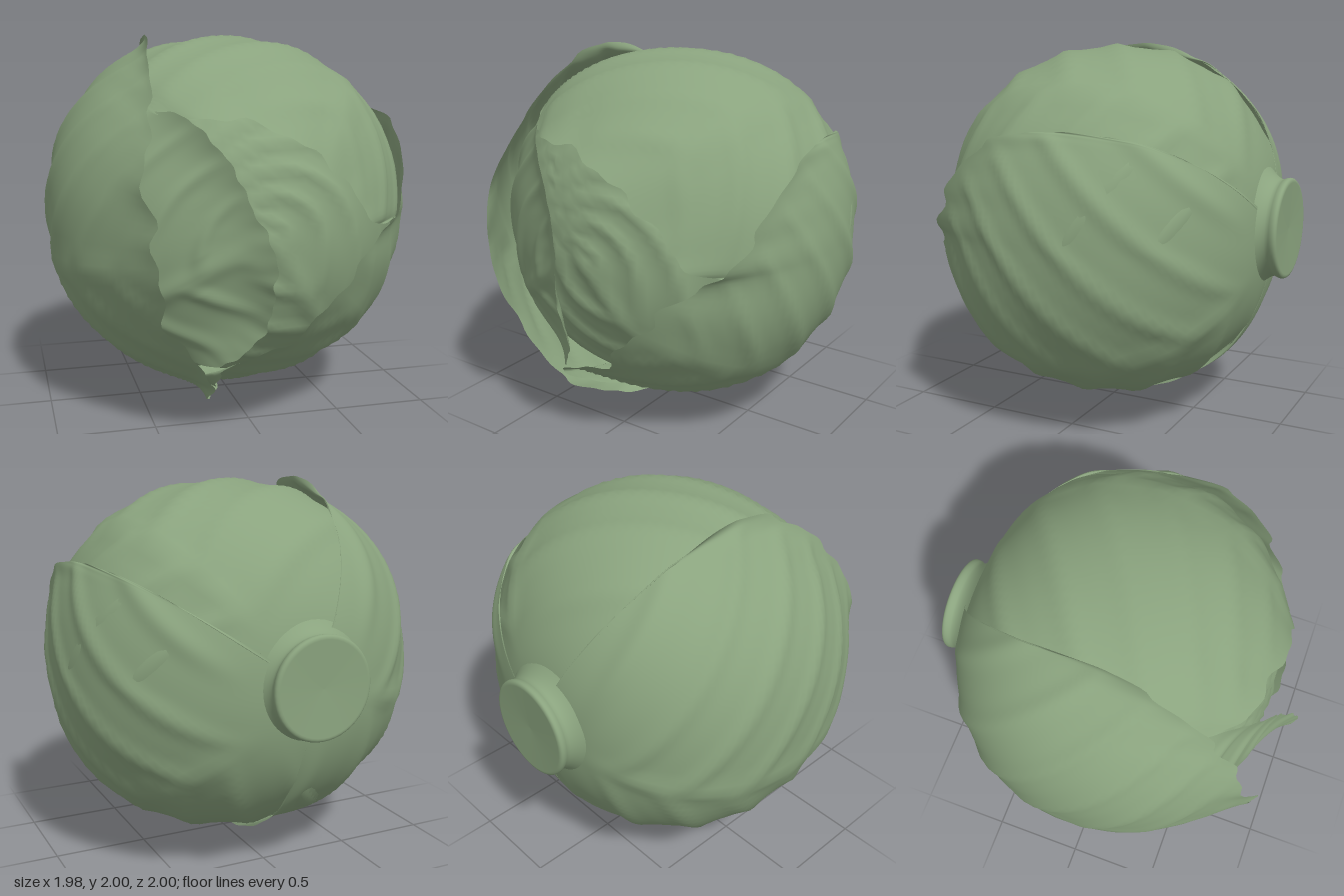
import * as THREE from 'three';

const CENTRE = new THREE.Vector3(0, 1.06, -0.03);
const RADII = new THREE.Vector3(0.975, 0.945, 0.885);
const STEM_POLE = new THREE.Vector3(-0.04, 0, -1).normalize();

// Distance from the centre to the slightly blunt ball of the head
function headRadius(d) {
  const n = 2.15;
  const s = Math.abs(d.x / RADII.x) ** n + Math.abs(d.y / RADII.y) ** n + Math.abs(d.z / RADII.z) ** n;
  return s ** (-1 / n);
}

// Raised midrib with side veins sweeping forward from it
function veinHeight(d, ribAngle, slope) {
  const theta = Math.acos(THREE.MathUtils.clamp(-d.z, -1, 1));
  let a = Math.atan2(d.y, d.x) - ribAngle;
  a = Math.atan2(Math.sin(a), Math.cos(a));
  const w = Math.sin(theta) * a;
  const x = (theta - slope * Math.abs(w)) / 0.36 + (w > 0 ? 0.3 : 0);
  const f = x - Math.floor(x);
  const side = Math.exp(-(((f - 0.5) / 0.16) ** 2)) * Math.min(1, Math.abs(w) / 0.1);
  const rib = Math.exp(-((w / 0.06) ** 2));
  const fade = THREE.MathUtils.smoothstep(theta, 0.3, 0.8);
  return fade * (0.02 * side + 0.02 * rib - 0.005);
}

// Leaf: a patch of the head fanned from an apex out to a ragged edge
function makeLeaf(name, material, { scale, rib, slope, ragged = 1, apex = STEM_POLE }, ...edge) {
  const points = edge.map(p => new THREE.Vector3(...p).sub(CENTRE));
  const curve = new THREE.CatmullRomCurve3(points, false, 'centripetal');
  curve.arcLengthDivisions = 600;
  const NU = 140, NV = 70, pos = [], index = [];
  for (let i = 0; i <= NU; i++) {
    const u = i / NU;
    const p = curve.getPointAt(u);
    const e = p.clone().normalize();
    // Lip radius never sinks below the leaf's own layer
    const lip = Math.max(p.length(), headRadius(e) * scale);
    const angle = apex.angleTo(e);
    const side = e.clone().addScaledVector(apex, -apex.dot(e)).normalize();
    const wobble = ragged * Math.sin(Math.PI * u) *
      (0.012 * Math.sin(41 * u) + 0.01 * Math.sin(97 * u + 1) + 0.008 * Math.sin(163 * u + 2));
    for (let j = 0; j <= NV; j++) {
      const v = j / NV;
      const t = angle * v * (1 + wobble * v ** 6);
      const d = apex.clone().multiplyScalar(Math.cos(t)).addScaledVector(side, Math.sin(t));
      const body = headRadius(d) * scale + veinHeight(d, rib, slope);
      const r = THREE.MathUtils.lerp(body, lip + wobble * 0.6, v ** 9);
      const q = d.multiplyScalar(r).add(CENTRE);
      pos.push(q.x, q.y, q.z);
      if (i < NU && j < NV) {
        const a = i * (NV + 1) + j, b = a + NV + 1;
        if (j > 0) index.push(a, a + 1, b);
        index.push(b, a + 1, b + 1);
      }
    }
  }
  const g = new THREE.BufferGeometry();
  g.setAttribute('position', new THREE.Float32BufferAttribute(pos, 3));
  g.setIndex(index);
  g.computeVertexNormals();
  const mesh = new THREE.Mesh(g, material);
  mesh.name = name;
  return mesh;
}

// Inner heart, visible at the front between the leaves
function makeHeart(material) {
  const g = new THREE.SphereGeometry(1, 110, 80);
  const p = g.attributes.position;
  const d = new THREE.Vector3();
  for (let i = 0; i < p.count; i++) {
    d.fromBufferAttribute(p, i).normalize();
    d.multiplyScalar(headRadius(d) * 0.945 + veinHeight(d, -1, 0.6)).add(CENTRE);
    p.setXYZ(i, d.x, d.y, d.z);
  }
  g.computeVertexNormals();
  const mesh = new THREE.Mesh(g, material);
  mesh.name = 'heart';
  return mesh;
}

// Cut stem at the back, with a soft rolled rim
function makeStem(material) {
  const profile = new THREE.Path();
  profile.moveTo(0.36, 0.82);
  profile.quadraticCurveTo(0.25, 0.9, 0.252, 0.95);
  profile.bezierCurveTo(0.27, 0.98, 0.265, 1, 0.24, 1);
  profile.lineTo(0, 0.99);
  const g = new THREE.LatheGeometry(profile.getPoints(8), 48);
  g.rotateX(-Math.PI / 2);
  const mesh = new THREE.Mesh(g, material);
  mesh.name = 'stem';
  mesh.position.set(-0.05, 1.065, 0);
  return mesh;
}

export function createModel() {
  const group = new THREE.Group();
  group.name = 'cabbage';
  const green = new THREE.MeshStandardMaterial({ color: 0x8aa37e, side: THREE.DoubleSide });
  green.name = 'leafGreen';

  group.add(makeHeart(green), makeStem(green));

  // Wraps over the top, its lip crossing the front
  group.add(makeLeaf('topLeaf', green, { scale: 0.985, rib: 0.85, slope: 0.6, ragged: 0.6 },
    [0.2, 1.08, -0.87], [0.9, 1.08, 0.1], [0.6, 1.07, 0.7], [0.25, 1.45, 0.8], [0, 1.57, 0.79],
    [-0.35, 1.61, 0.7], [-0.7, 1.62, 0], [-0.12, 1.2, -0.87]));

  // Folds in across the front, its lip standing proud
  const sideApex = new THREE.Vector3(-0.85, -0.1, 0.3).normalize();
  group.add(makeLeaf('frontLeaf', green, { scale: 0.965, rib: 3.7, slope: 0.5, ragged: 0.5, apex: sideApex },
    [-0.75, 1.6, 0.2], [-0.35, 1.6, 0.73], [-0.08, 1.17, 0.92], [-0.01, 0.92, 1], [-0.03, 0.62, 0.9],
    [-0.2, 0.39, 0.74], [-0.6, 0.42, 0.2]));

  // Broad outer leaf on the model's left
  group.add(makeLeaf('leftOuterLeaf', green, { scale: 1, rib: -0.75, slope: 0.85 },
    [0.2, 1.2, -0.88], [0.73, 1.56, -0.35], [0.88, 1.55, 0.25], [0.76, 1.1, 0.64], [0.6, 1.01, 0.75],
    [0.4, 0.76, 0.83], [0.14, 0.54, 0.84], [-0.2, 0.38, 0.77], [-0.15, 0.15, 0.4], [-0.05, 0.11, 0],
    [-0.04, 0.8, -0.88]));

  // Broad outer leaf on the model's right, lapping underneath
  group.add(makeLeaf('rightOuterLeaf', green, { scale: 1.005, rib: 3.4, slope: 0.8 },
    [-0.11, 1.25, -0.89], [-0.4, 1.86, -0.42], [-0.46, 1.99, 0.18], [-0.57, 1.4, 0.82], [-0.58, 1.1, 0.88],
    [-0.53, 0.75, 0.84], [-0.27, 0.32, 0.72], [-0.18, 0.05, 0.32], [-0.05, 0.01, 0], [0, 0.3, -0.62],
    [-0.03, 0.8, -0.89]));

  return group;
}
